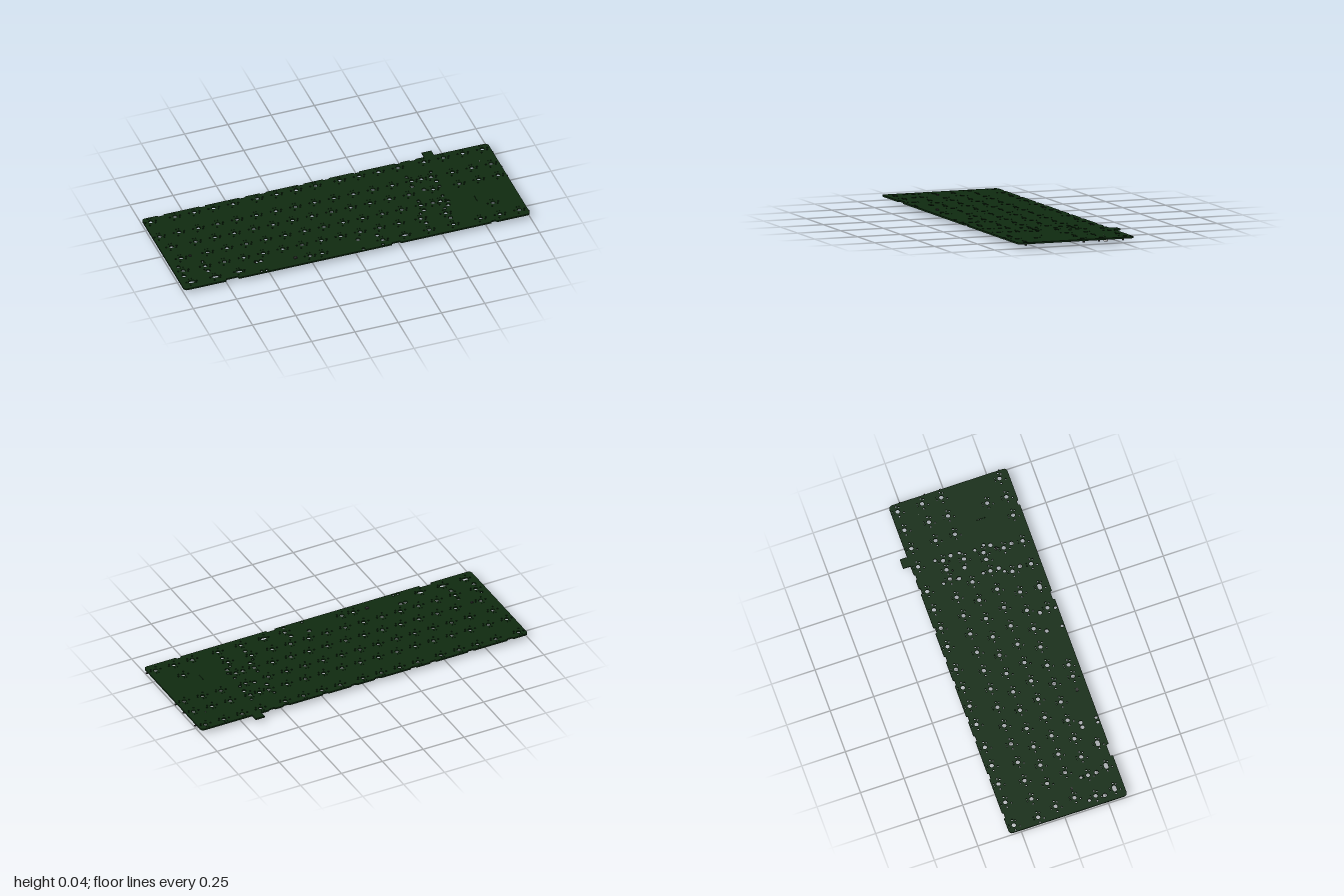
import * as THREE from 'three';

const U = 0.112;          // key pitch
const TOP = 0.036, BOTTOM = 0.027;
const colX = u => -0.96 + u * U;
const run = (start, count) => Array.from({ length: count }, (_, i) => start + i);

// Switch positions, in key units, for each row
const rows = [
  { z: -0.28, diodeZ: -0.25, keys: [0, ...run(1.25, 4), ...run(5.5, 4), ...run(9.75, 4), ...run(14.1, 4)] },
  { z: -0.14, diodeZ: -0.11, keys: [...run(0, 15), 13.5, ...run(15.1, 3)] },
  { z: -0.03, diodeZ: -0.02, keys: [0.25, ...run(1.5, 12), 13.75, ...run(15.1, 3)] },
  { z: 0.083, diodeZ: 0.155, keys: [0.375, ...run(1.75, 12), 13.375, 13.75] },
  { z: 0.195, diodeZ: 0.242, keys: [0.125, ...run(1.25, 11), 12.375, 13.66, 16.1] },
  { z: 0.305, diodeZ: 0.318, keys: [6.3, 6.93, 10.05, 12.45, 13.7, ...run(15.1, 3)], slots: [0.19, 1.42, 2.65, 11.2] },
];

// Stabiliser pairs: centre x, row z, half spacing, direction of the large hole
const stabilisers = [
  [colX(13.5), -0.14, 0.07, 1],
  [colX(13.375), 0.083, 0.07, 1],
  [colX(0.625), 0.195, 0.07, 1],
  [colX(13.125), 0.195, 0.07, 1],
  [-0.254, 0.305, 0.294, -1],
  [-0.184, 0.305, 0.336, -1],
];

function boardOutline() {
  const back = -0.318, front = 0.36, r = 0.022;
  const s = new THREE.Shape();
  s.moveTo(-1, back + r);
  s.quadraticCurveTo(-1, back, -1 + r, back);
  const notch = (x, half, z, depth, dir) => {
    s.lineTo(x - dir * half, z);
    s.lineTo(x - dir * (half - 0.004), z + dir * depth);
    s.lineTo(x + dir * (half - 0.004), z + dir * depth);
    s.lineTo(x + dir * half, z);
  };
  for (const x of [-0.89, -0.65, -0.42, -0.3, -0.08, 0.065, 0.24, 0.48, 0.565]) {
    notch(x, 0.018, back, 0.008, 1);
  }
  // connector tongue
  s.lineTo(0.635, back);
  s.lineTo(0.635, -0.36);
  s.lineTo(0.69, -0.36);
  s.lineTo(0.69, back);
  s.lineTo(1 - r, back);
  s.quadraticCurveTo(1, back, 1, back + r);
  s.lineTo(1, front - r);
  s.quadraticCurveTo(1, front, 1 - r, front);
  notch(0.79, 0.015, front, 0.01, -1);
  notch(0.225, 0.027, front, 0.011, -1);
  notch(-0.72, 0.037, front, 0.014, -1);
  s.lineTo(-1 + r, front);
  s.quadraticCurveTo(-1, front, -1, front - r);
  s.closePath();
  return s;
}

function makeBoard(material) {
  const shape = boardOutline();
  const placed = [];
  // Drills a round hole or slot, skipping any that would run into another
  const drill = (x, z, r, stretch = 0) => {
    const reach = r + stretch;
    if (placed.some(p => Math.hypot(p.x - x, p.z - z) < p.reach + reach + 0.001)) return;
    placed.push({ x, z, reach });
    const hole = new THREE.Path();
    hole.absarc(x + stretch, z, r, -Math.PI / 2, Math.PI / 2, false);
    hole.absarc(x - stretch, z, r, Math.PI / 2, Math.PI * 1.5, false);
    shape.holes.push(hole);
  };

  // large centre holes first, so they take priority
  for (const { z, keys, slots = [] } of rows) {
    keys.forEach(u => drill(colX(u), z, 0.0118));
    slots.forEach(u => drill(colX(u), z, 0.0118, 0.007));
  }
  for (const [x, z, half, dir] of stabilisers) {
    for (const side of [-1, 1]) {
      drill(x + side * half, z + dir * 0.048, 0.0118);
      drill(x + side * half, z - dir * 0.041, 0.009);
    }
  }
  // upright stabiliser of the tall key
  for (const side of [-1, 1]) {
    drill(colX(13.75) - 0.048, 0.027 + side * 0.07, 0.0118);
    drill(colX(13.75) + 0.041, 0.027 + side * 0.07, 0.009);
  }
  // switch pegs, contact pins and lamp pins
  for (const { z, keys, slots = [] } of rows) {
    for (const u of [...keys, ...slots]) {
      const x = colX(u);
      drill(x - 0.03, z, 0.005);
      drill(x + 0.03, z, 0.005);
      drill(x + 0.0224, z + 0.015, 0.0044);
      drill(x - 0.015, z + 0.03, 0.0044);
      drill(x - 0.0075, z - 0.026, 0.003);
      drill(x + 0.0075, z - 0.026, 0.003);
    }
  }
  // programming header
  for (let i = 0; i < 5; i++) drill(0.767, 0.11 + i * 0.011, 0.0025);

  const geometry = new THREE.ExtrudeGeometry(shape, { depth: TOP - BOTTOM, bevelEnabled: false, curveSegments: 5 });
  geometry.rotateX(Math.PI / 2);
  const board = new THREE.Mesh(geometry, material);
  board.position.y = TOP;
  board.name = 'circuitBoard';
  return board;
}

export function createModel() {
  const model = new THREE.Group();
  model.name = 'keyboardCircuitBoard';
  const paint = color => new THREE.MeshStandardMaterial({ color });
  const green = paint(0x0f2a10), black = paint(0x333333), metal = paint(0xcccccc);

  const box = (name, material, w, h, d, x, y, z, parent = model) => {
    const mesh = new THREE.Mesh(new THREE.BoxGeometry(w, h, d), material);
    mesh.position.set(x, y, z);
    mesh.name = name;
    parent.add(mesh);
    return mesh;
  };
  const under = (name, material, w, h, d, x, z, parent) =>
    box(name, material, w, h, d, x, BOTTOM - h / 2, z, parent);

  model.add(makeBoard(green));

  // one diode under each switch
  const diodes = new THREE.Group();
  diodes.name = 'diodes';
  model.add(diodes);
  for (const { diodeZ, keys, slots = [] } of rows) {
    for (const u of [...keys, ...slots]) {
      under('diode', black, 0.014, 0.007, 0.008, colX(u) + 0.045, diodeZ, diodes);
    }
  }

  // chip with legs on all four sides
  const chip = (name, x, z, size, legs) => {
    const group = new THREE.Group();
    group.name = name;
    model.add(group);
    under('chipBody', black, size, 0.012, size, x, z, group);
    for (let i = 0; i < legs; i++) {
      const t = (i / (legs - 1) - 0.5) * size * 0.85;
      for (const side of [-1, 1]) {
        const reach = side * (size / 2 + 0.003);
        under('chipLeg', metal, 0.002, 0.004, 0.006, x + t, z + reach, group);
        under('chipLeg', metal, 0.006, 0.004, 0.002, x + reach, z + t, group);
      }
    }
  };
  chip('controllerChip', 0.69, 0.062, 0.05, 11);
  chip('driverChip', 0.72, 0.114, 0.034, 8);
  under('regulator', black, 0.025, 0.014, 0.012, 0.66, 0.016);

  // small passive parts around the chips
  const passives = new THREE.Group();
  passives.name = 'passives';
  model.add(passives);
  for (let i = 0; i < 6; i++) {
    under('resistor', black, 0.008, 0.006, 0.005, 0.64 + i * 0.024, 0.15 + (i % 2) * 0.01, passives);
    under('capacitor', black, 0.006, 0.007, 0.008, 0.65 + i * 0.022, -0.085 - (i % 3) * 0.024, passives);
    under('resistor', black, 0.007, 0.006, 0.005, 0.66 + i * 0.01, -0.16 - (i % 2) * 0.05, passives);
  }

  // round metal cans hanging below the board, on square bases
  for (const [x, z, h] of [[0.668, -0.15, 0.021], [0.902, -0.188, 0.022]]) {
    const can = new THREE.Mesh(new THREE.CylinderGeometry(0.0125, 0.0125, h, 24), metal);
    can.position.set(x, BOTTOM - h / 2, z);
    can.name = 'capacitorCan';
    model.add(can);
    under('capacitorBase', black, 0.026, 0.003, 0.026, x, z);
  }
  box('capacitorPin', metal, 0.003, 0.012, 0.003, 0.902, 0.034, -0.178);

  // indicator lamps on top
  box('indicatorLamp', black, 0.014, 0.006, 0.01, -0.866, TOP + 0.003, 0.085);
  box('indicatorLamp', black, 0.018, 0.007, 0.014, -0.336, TOP + 0.0035, 0.3);
  return model;
}
